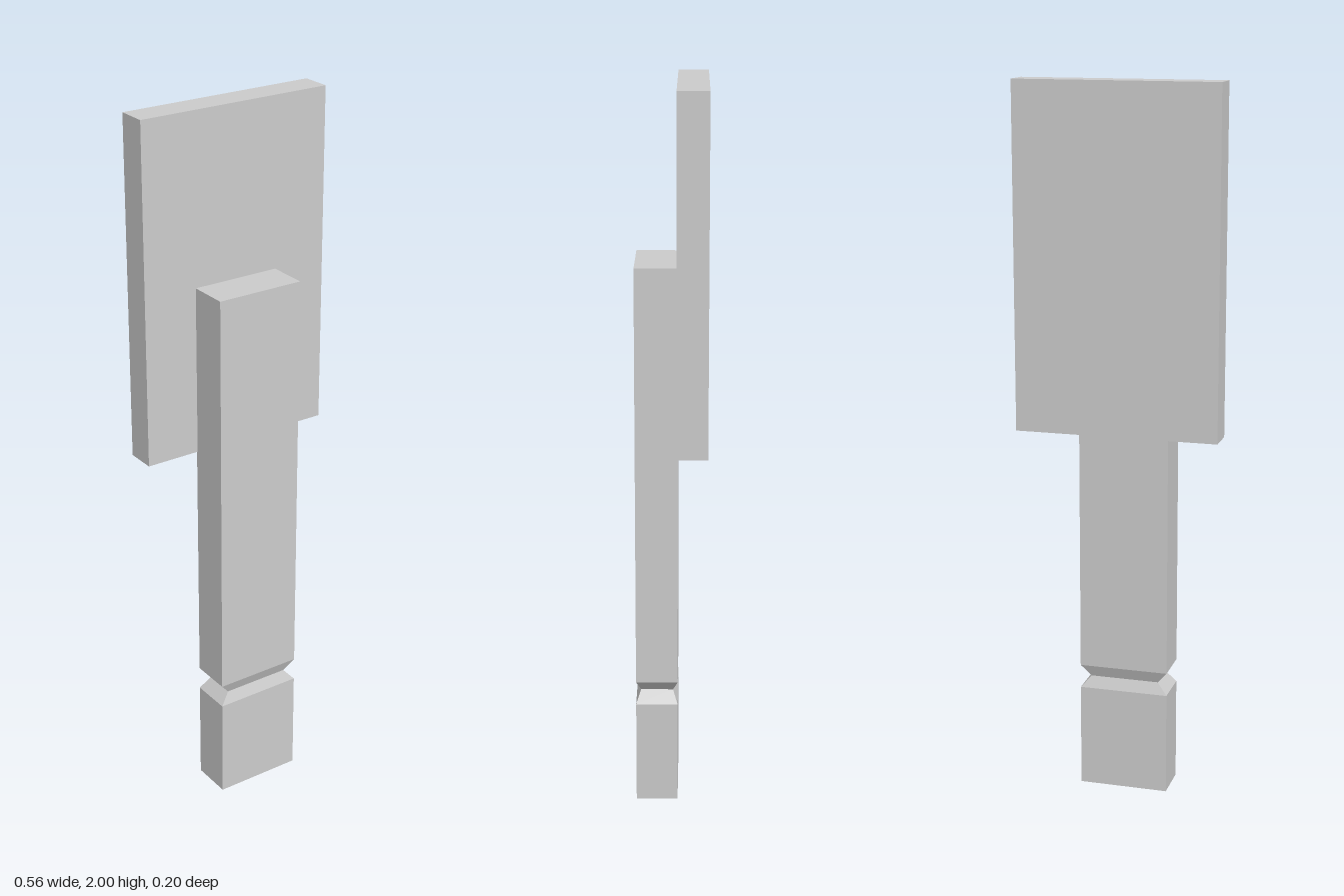
import * as THREE from 'three';

const material = new THREE.MeshStandardMaterial({ color: 0xcccccc, flatShading: true });

// Solid of stacked rectangular sections, each [y, halfWidth, halfDepth]
function stackedSections(sections) {
  const positions = [];
  const corners = sections.map(([y, w, d]) => [[-w, y, d], [w, y, d], [w, y, -d], [-w, y, -d]]);
  const quad = (a, b, c, d) => positions.push(...a, ...b, ...c, ...a, ...c, ...d);
  for (let i = 0; i < corners.length - 1; i++) {
    const low = corners[i], high = corners[i + 1];
    for (let k = 0; k < 4; k++) {
      const n = (k + 1) % 4;
      quad(low[k], low[n], high[n], high[k]);
    }
  }
  const bottom = corners[0], top = corners[corners.length - 1];
  quad(bottom[3], bottom[2], bottom[1], bottom[0]);
  quad(top[0], top[1], top[2], top[3]);
  const geometry = new THREE.BufferGeometry();
  geometry.setAttribute('position', new THREE.Float32BufferAttribute(positions, 3));
  geometry.computeVertexNormals();
  return geometry;
}

export function createModel() {
  const group = new THREE.Group();

  // Post with a V-shaped groove near the foot
  const w = 0.126, d = 0.058, neck = 0.77;
  const post = new THREE.Mesh(stackedSections([
    [0, w, d],
    [0.293, w, d],
    [0.326, w * neck, d * neck],
    [0.36, w, d],
    [1.53, w, d],
  ]), material);
  post.name = 'post';
  post.position.z = 0.04;
  group.add(post);

  // Flat board fixed to the back of the post
  const board = new THREE.Mesh(new THREE.BoxGeometry(0.562, 0.942, 0.083), material);
  board.name = 'board';
  board.position.set(0, 1.529, -0.0565);
  group.add(board);

  return group;
}
